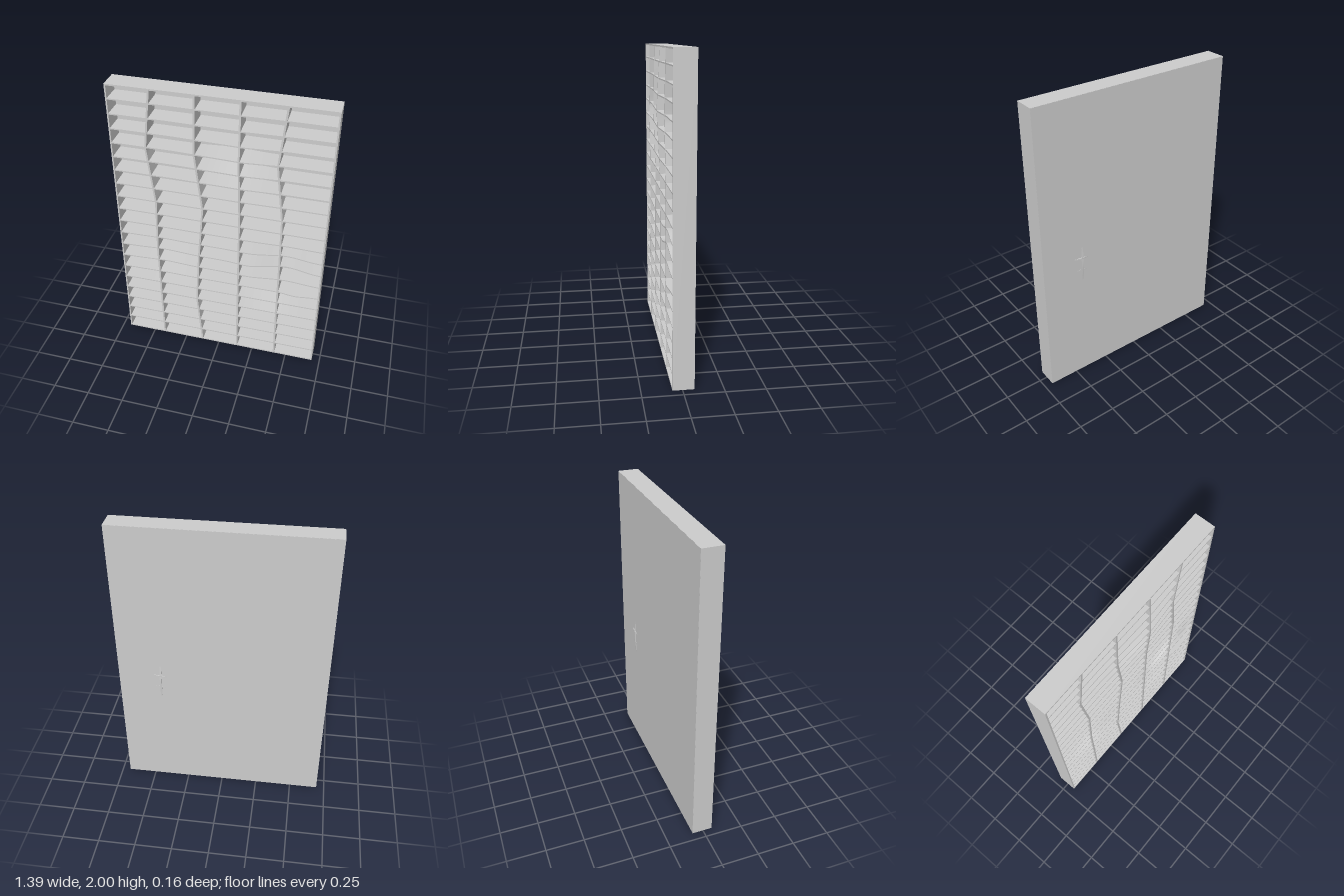
import * as THREE from 'three';
import { toCreasedNormals } from 'three/addons/utils/BufferGeometryUtils.js';

const W = 0.695, H = 2, FRONT = 0.062, BACK = -0.072, T = 0.01;
const material = new THREE.MeshStandardMaterial({ color: 0xcccccc });

const bell = (d, w) => Math.exp(-(d * d) / (w * w));
const tent = (d, w) => Math.max(0, 1 - Math.abs(d) / w);

// Gentle warps of the whole unit: front bulge, back bulge, shelf waves, shelf twist
const frontZ = (x, y) => FRONT
  + 0.021 * tent(y - 1.6, 0.4) * tent(x - 0.15, x < 0.15 ? 0.45 : 0.27)
  + 0.015 * bell(x - 0.53, 0.08) * bell(y - 0.6, 0.05);
const backZ = (x, y) => BACK - 0.011 * bell(x - 0.42, 0.03) * bell(y - 0.88, 0.08);
const wave = (x, y) =>
  0.036 * bell(x - 0.46, 0.14) * bell(y - 0.82, 0.13)
  - 0.014 * bell(x - 0.2, 0.1) * bell(y - 0.8, 0.12)
  + 0.013 * bell(x + 0.38, 0.15) * bell(y - 0.76, 0.15);
const twist = (x, y) =>
  0.022 * bell(x - 0.08, 0.15) * bell(y - 1.5, 0.12)
  + 0.017 * bell(x - 0.36, 0.15) * bell(y - 0.45, 0.09)
  + 0.01 * bell(x + 0.36, 0.16) * bell(y - 0.65, 0.18);

// Closed board swept through four-corner sections
function board(name, steps, section) {
  const pos = [], index = [];
  for (let i = 0; i <= steps; i++) {
    for (const c of section(i / steps)) pos.push(...c);
    if (i === steps) break;
    for (let k = 0; k < 4; k++) {
      const a = i * 4 + k, b = i * 4 + (k + 1) % 4;
      index.push(a, b, b + 4, a, b + 4, a + 4);
    }
  }
  const e = steps * 4;
  index.push(0, 2, 1, 0, 3, 2, e, e + 1, e + 2, e, e + 2, e + 3);
  const g = new THREE.BufferGeometry();
  g.setAttribute('position', new THREE.Float32BufferAttribute(pos, 3));
  g.setIndex(index);
  const mesh = new THREE.Mesh(toCreasedNormals(g, 0.5), material);
  mesh.name = name;
  return mesh;
}

function shelf(y) {
  const t = T * 0.4;
  return board('shelf', 60, (u) => {
    const x = (u * 2 - 1) * (W - T);
    const yf = y + 0.003 + wave(x, y), yb = yf + twist(x, y);
    const zb = backZ(x, y), zf = frontZ(x, y);
    return [[x, yb - t, zb], [x, yb + t, zb], [x, yf + t, zf], [x, yf - t, zf]];
  });
}

// Divider follows x values given at equal heights from bottom to top
function divider(xs) {
  const t = T * 0.6;
  return board('divider', 40, (u) => {
    const s = u * (xs.length - 1), i = Math.min(Math.floor(s), xs.length - 2);
    const x = THREE.MathUtils.lerp(xs[i], xs[i + 1], s - i);
    const y = T / 2 + u * (H - T);
    const zb = backZ(x, y), zf = frontZ(x, y) + 0.001;
    return [[x - t, y, zb], [x - t, y, zf], [x + t, y, zf], [x + t, y, zb]];
  });
}

function box(name, w, h, d, x, y, z) {
  const mesh = new THREE.Mesh(new THREE.BoxGeometry(w, h, d), material);
  mesh.position.set(x, y, z);
  mesh.name = name;
  return mesh;
}

export function createModel() {
  const model = new THREE.Group();
  model.name = 'shelvingUnit';

  // Outer frame and back
  const depth = FRONT - BACK, zMid = (FRONT + BACK) / 2;
  for (const s of [-1, 1]) {
    model.add(box(s < 0 ? 'rightSide' : 'leftSide', T, H, depth, s * (W - T / 2), H / 2, zMid));
    model.add(box(s < 0 ? 'bottomPanel' : 'topPanel', 2 * (W - T), T, depth,
      0, H / 2 + s * (H - T) / 2, zMid));
  }
  model.add(box('backPanel', 2 * W - 0.002, H - 0.002, T, 0, H / 2, BACK + T / 2 - 0.001));

  // Kinked uprights
  const paths = [
    [-0.42, -0.425, -0.43, -0.42, -0.465, -0.42],
    [-0.125, -0.16, -0.138, -0.107, -0.152, -0.145],
    [0.136, 0.136, 0.136, 0.136, 0.13, 0.13],
    [0.414, 0.412, 0.412, 0.41, 0.365, 0.405],
  ];
  for (const p of paths) model.add(divider(p));

  // Wavy shelves
  for (let i = 1; i < 20; i++) model.add(shelf(i * 0.1));
  return model;
}
